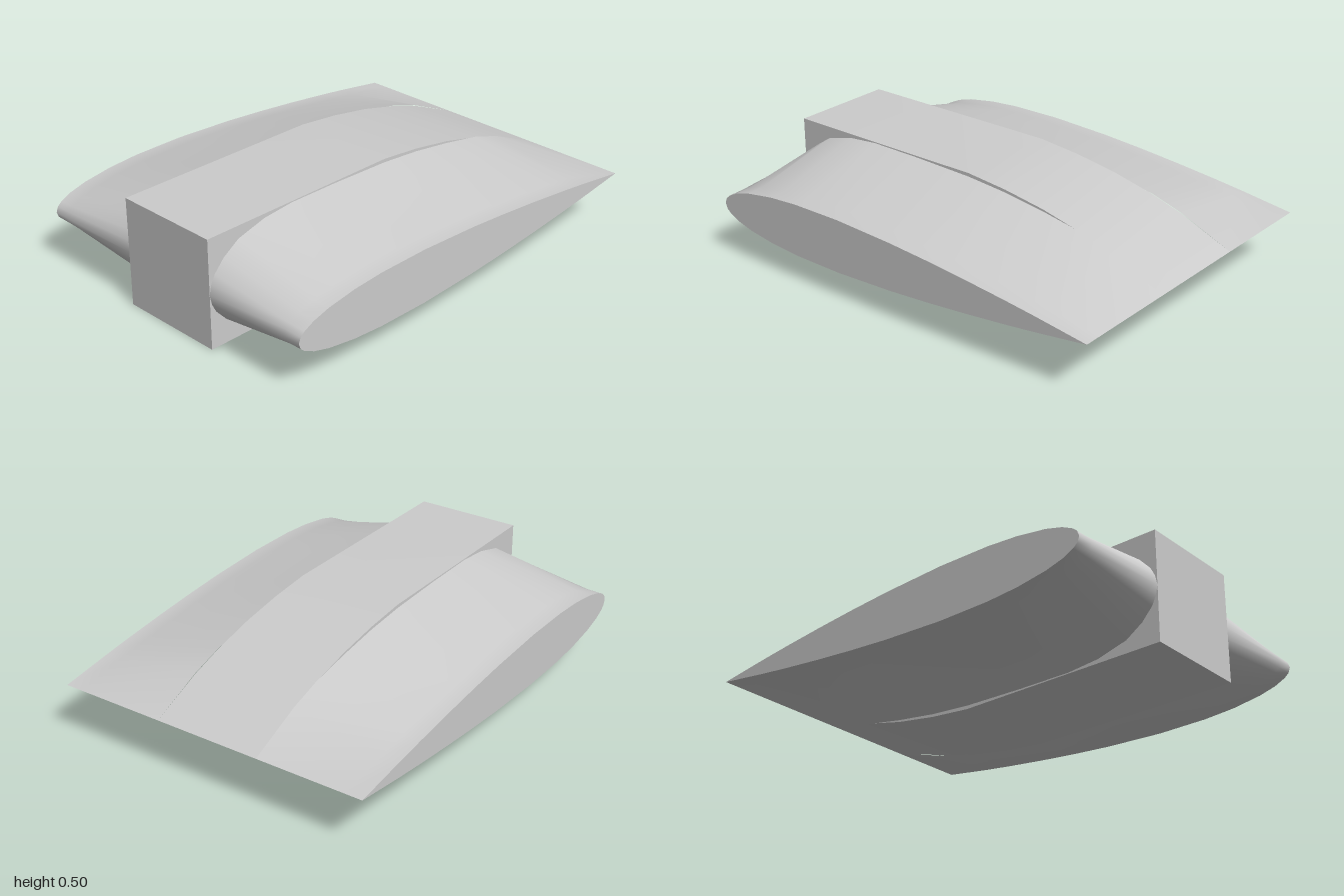
import * as THREE from 'three';
import { toCreasedNormals } from 'three/addons/utils/BufferGeometryUtils.js';

const material = new THREE.MeshStandardMaterial({ color: 0xcccccc });

// Half thickness of the wing root along the chord: [x, half height]
const ROOT = [[-1, 0], [-0.99, 0.045], [-0.97, 0.085], [-0.92, 0.14], [-0.84, 0.193], [-0.7, 0.231],
  [-0.55, 0.245], [-0.3, 0.243], [0, 0.234], [0.2, 0.217], [0.4, 0.189], [0.6, 0.153], [0.75, 0.107], [1, 0]];

// Half thickness of the centre body, flat up to x = 0
const BODY = [[-1, 0.25], [0, 0.25], [0.2, 0.23], [0.4, 0.198], [0.6, 0.151], [0.75, 0.104], [1, 0]];

// Symmetric teardrop aerofoil over a chord of 2, closed at the trailing edge
function tipHalf(x) {
  const c = (x + 1) / 2;
  if (c >= 1) return 0;
  return 1.25 * (0.2969 * Math.sqrt(c) - 0.126 * c - 0.3516 * c ** 2 + 0.2843 * c ** 3 - 0.1036 * c ** 4);
}

// Outline from the trailing edge over the top to the nose and back below
function outline(profile) {
  const upper = [...profile].reverse();
  const lower = profile.slice(1).map(([x, h]) => [x, -h]);
  return [...upper, ...lower];
}

const toShape = (points) => new THREE.Shape(points.map(([x, y]) => new THREE.Vector2(x, y)));

// Skin lofted through sections of equal point count
function loft(sections) {
  const n = sections[0].points.length;
  const positions = [], index = [];
  sections.forEach(({ z, points }, s) => {
    points.forEach(([x, y]) => positions.push(x, y, z));
    if (s === sections.length - 1) return;
    for (let j = 0; j < n - 1; j++) {
      const a = s * n + j, b = a + 1, c = a + n, d = c + 1;
      index.push(a, b, c, b, d, c);
    }
  });
  const geometry = new THREE.BufferGeometry();
  geometry.setAttribute('position', new THREE.Float32BufferAttribute(positions, 3));
  geometry.setIndex(index);
  geometry.computeVertexNormals();
  return geometry;
}

function addMesh(parent, geometry, name) {
  const mesh = new THREE.Mesh(geometry, material);
  mesh.name = name;
  parent.add(mesh);
  return mesh;
}

// Wing: thick root narrowing to a thin tip with a short, nearly level end
function createWing(name) {
  const wing = new THREE.Group();
  wing.name = name;
  const tip = ROOT.map(([x]) => [x, tipHalf(x)]);
  const shoulder = tip.map(([x, h]) => [x, h * 1.05]);
  const sections = [[0.25, ROOT], [0.67, shoulder], [0.75, tip]]
    .map(([z, profile]) => ({ z, points: outline(profile) }));
  addMesh(wing, loft(sections), 'wingSkin');
  const cap = new THREE.ShapeGeometry(toShape(outline(tip).slice(0, -1)));
  addMesh(wing, cap, 'wingTip').position.z = 0.75;
  return wing;
}

export function createModel() {
  const model = new THREE.Group();
  model.name = 'wingedBody';
  const assembly = new THREE.Group();
  assembly.name = 'assembly';
  assembly.position.y = 0.25;
  model.add(assembly);

  // Centre body: blunt at one end, tapering to an edge at the other
  const lower = BODY.slice(0, -1).map(([x, h]) => [x, -h]);
  const shape = toShape([...lower, ...[...BODY].reverse()]);
  const body = new THREE.ExtrudeGeometry(shape, { depth: 0.5, bevelEnabled: false });
  body.translate(0, 0, -0.25);
  addMesh(assembly, toCreasedNormals(body, 0.42), 'centreBody');

  // The section is symmetric, so a half turn about x makes the rear wing
  assembly.add(createWing('frontWing'));
  const rear = createWing('rearWing');
  rear.rotation.x = Math.PI;
  assembly.add(rear);
  return model;
}
